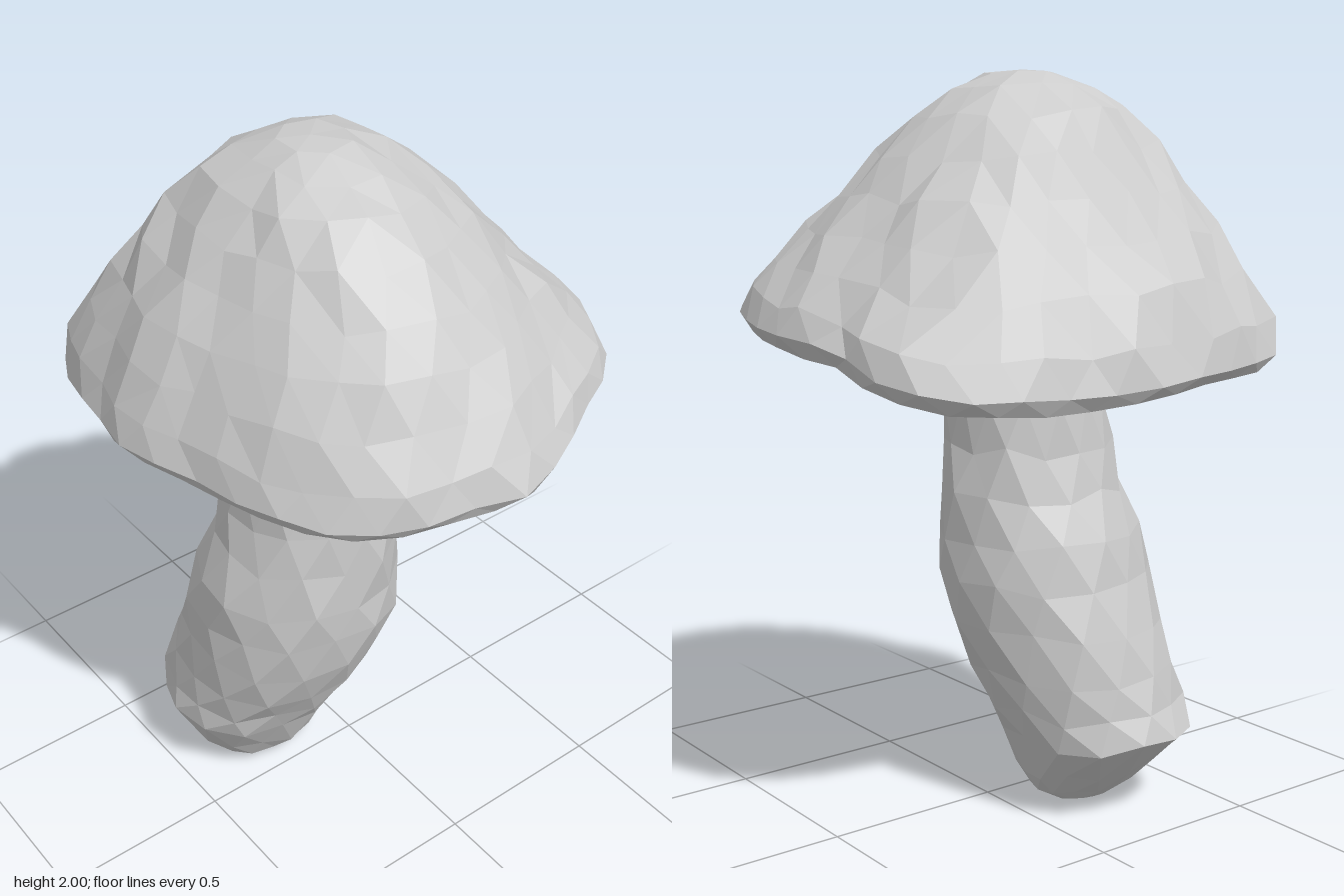
import * as THREE from 'three';

const V = (x, y, z) => new THREE.Vector3(x, y, z);
const material = () => new THREE.MeshStandardMaterial({ color: 0xcccccc, flatShading: true });

// Repeatable noise in -1..1
function makeNoise(seed) {
  let s = seed;
  return () => {
    s = (s * 16807) % 2147483647;
    return (s / 2147483647) * 2 - 1;
  };
}

// Skin closed rings listed from top to bottom, closed with a point at each end.
// Neighbouring rings may differ in their number of points.
function skin(name, top, rings, bottom) {
  const points = [top];
  const index = [];
  const loops = rings.map((ring) => {
    const start = points.length;
    points.push(...ring);
    return { n: ring.length, at: (i) => start + (i % ring.length) };
  });
  const last = points.push(bottom) - 1;
  const first = loops[0], end = loops[loops.length - 1];
  for (let i = 0; i < first.n; i++) index.push(0, first.at(i + 1), first.at(i));
  for (let i = 0; i < end.n; i++) index.push(last, end.at(i), end.at(i + 1));

  // Walk around each pair of rings, always stepping on the one that lags behind
  for (let j = 0; j < loops.length - 1; j++) {
    const up = loops[j], low = loops[j + 1];
    const shift = ((j % 2) - ((j + 1) % 2)) / 2;
    for (let a = 0, b = 0; a < up.n || b < low.n;) {
      const stepUp = b === low.n || (a < up.n && (a + 1 + shift / 2) / up.n <= (b + 1 - shift / 2) / low.n);
      if (stepUp) index.push(up.at(a), up.at(++a), low.at(b));
      else index.push(up.at(a), low.at(b + 1), low.at(b++));
    }
  }
  const geometry = new THREE.BufferGeometry().setFromPoints(points);
  geometry.setIndex(index);
  geometry.computeVertexNormals();
  const mesh = new THREE.Mesh(geometry, material());
  mesh.name = name;
  return mesh;
}

// Evenly spaced turns 0..1, every second ring moved by half a step
const turns = (n, j) => Array.from({ length: n }, (_, i) => (i + (j % 2) / 2) / n);

// Cap: an uneven, tilted rim scaled towards the apex along a dome profile
function makeCap() {
  const noise = makeNoise(71);
  const rim = new THREE.CatmullRomCurve3([
    [0.655, 1.32, -0.02], [0.63, 1.33, 0.15], [0.55, 1.35, 0.36], [0.46, 1.35, 0.47],
    [0.3, 1.35, 0.57], [0, 1.305, 0.7], [-0.15, 1.285, 0.65], [-0.36, 1.27, 0.58],
    [-0.52, 1.275, 0.38], [-0.585, 1.285, 0.17], [-0.66, 1.3, -0.05], [-0.63, 1.29, -0.25],
    [-0.58, 1.275, -0.46], [-0.5, 1.25, -0.59], [-0.4, 1.235, -0.635], [-0.15, 1.225, -0.69],
    [0.02, 1.21, -0.695], [0.2, 1.19, -0.63], [0.35, 1.19, -0.6], [0.5, 1.2, -0.52],
    [0.605, 1.24, -0.36], [0.615, 1.29, -0.2],
  ].map((p) => V(...p)), true);
  const apex = V(-0.1, 2, -0.02);

  // [share of rim radius, share of dome height, number of points]
  const dome = [[0.14, 0.99, 7], [0.27, 0.935, 12], [0.4, 0.855, 17], [0.53, 0.74, 22],
    [0.65, 0.605, 26], [0.76, 0.465, 30], [0.87, 0.315, 33], [0.965, 0.16, 36],
    [1, 0.045, 36], [0.965, 0, 36]];
  const rings = dome.map(([f, t, n], j) => turns(n, j).map((u) => {
    const r = rim.getPointAt(u % 1);
    const dx = r.x - apex.x, dz = r.z - apex.z;
    // The dome is flatter on its left side, a little towards the front
    const side = Math.max(0, (dx * 0.95 + dz * 0.31) / Math.hypot(dx, dz));
    const rise = t - 0.38 * side * side * f * f * (1 - f * f);
    const rough = f < 0.2 ? 0.004 : j < 8 ? 0.014 : 0.005;
    return V(
      apex.x + dx * f + noise() * rough,
      r.y + rise * (apex.y - r.y) + noise() * rough,
      apex.z + dz * f + noise() * rough,
    );
  }));

  // Nearly flat underside
  [[0.72, 24], [0.46, 15], [0.22, 8]].forEach(([f, n], k) => rings.push(turns(n, k).map((u) => {
    const r = rim.getPointAt(u % 1);
    return V(apex.x + (r.x - apex.x) * f, 1.285 + (r.y - 1.285) * f + noise() * 0.008, r.z * f);
  })));
  return skin('cap', apex, rings, V(apex.x, 1.285, 0));
}

// Stem: rounded sections that swell and lean backwards towards the foot
function makeStem() {
  const n = 14;
  const noise = makeNoise(333);
  // [y, x min, x max, z min, z max]
  const sections = [
    [1.29, -0.31, 0.04, -0.16, 0.2], [1.265, -0.335, 0.06, -0.18, 0.22],
    [1.13, -0.35, 0.075, -0.2, 0.235], [1.0, -0.37, 0.085, -0.22, 0.245],
    [0.88, -0.4, 0.105, -0.25, 0.25], [0.76, -0.445, 0.12, -0.3, 0.25],
    [0.64, -0.455, 0.12, -0.325, 0.245], [0.52, -0.465, 0.11, -0.37, 0.215],
    [0.4, -0.47, 0.08, -0.4, 0.165], [0.3, -0.48, 0.045, -0.425, 0.115],
    [0.22, -0.485, 0.015, -0.45, 0.07], [0.11, -0.43, -0.025, -0.335, 0.005],
    [0.045, -0.385, -0.06, -0.265, -0.03], [0.012, -0.29, -0.12, -0.225, -0.12],
  ];
  const rings = sections.map(([y, x0, x1, z0, z1], j) => turns(n, j).map((u) => {
    const a = u * Math.PI * 2;
    const swell = 1.02 + noise() * 0.04;
    const rough = j > 1 && j < 12 ? 0.018 : 0.004;
    return V(
      (x0 + x1) / 2 + Math.cos(a) * swell * (x1 - x0) / 2,
      y + noise() * rough,
      (z0 + z1) / 2 + Math.sin(a) * swell * (z1 - z0) / 2,
    );
  }));
  return skin('stem', V(-0.13, 1.295, 0.02), rings, V(-0.2, 0, -0.185));
}

export function createModel() {
  const group = new THREE.Group();
  group.name = 'mushroom';
  group.add(makeCap(), makeStem());
  return group;
}
